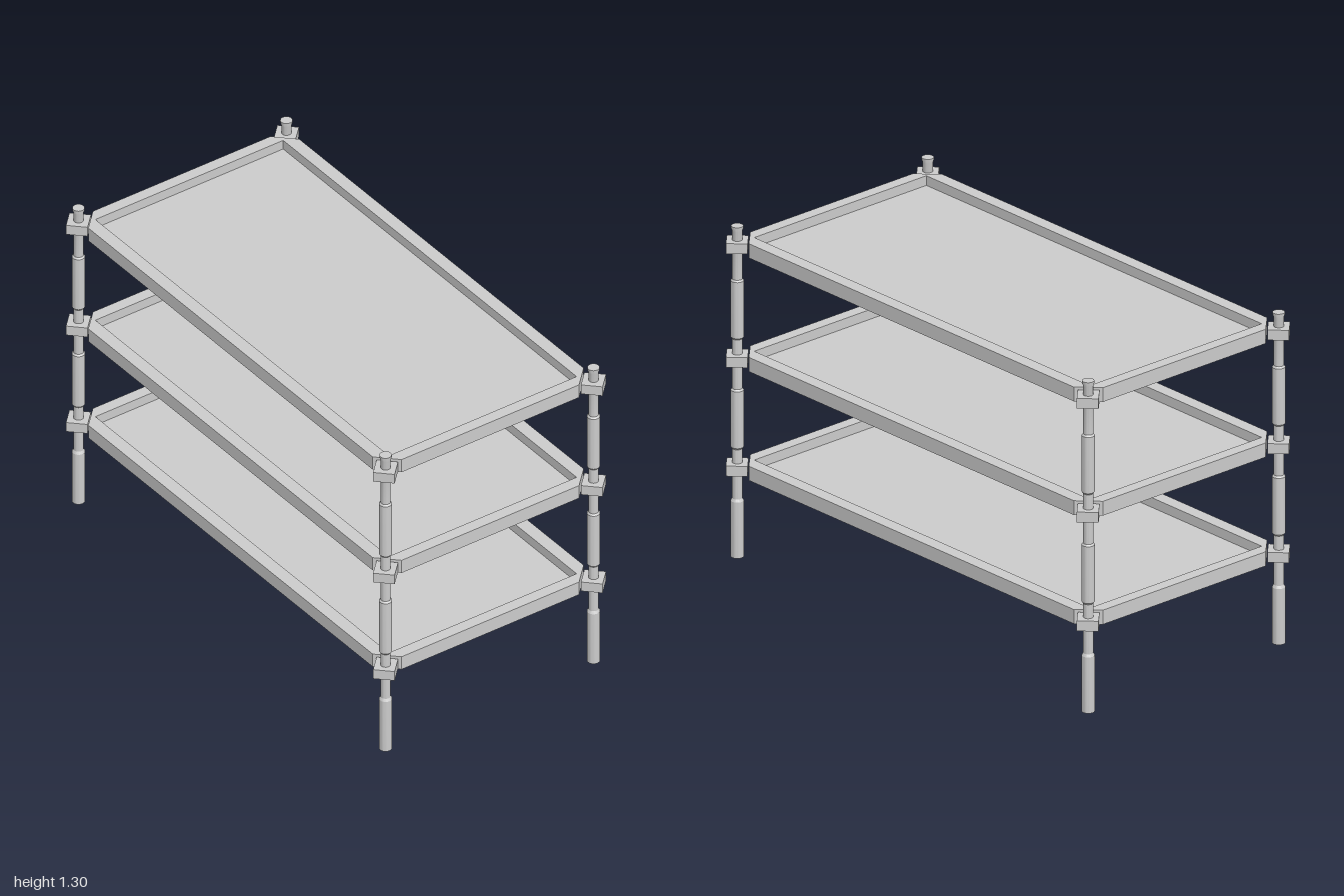
import * as THREE from 'three';
import { toCreasedNormals } from 'three/addons/utils/BufferGeometryUtils.js';

const material = new THREE.MeshStandardMaterial({ color: 0xcccccc });
const POST_X = 0.463, POST_Z = 0.945;
const HALF_X = 0.47, HALF_Z = 0.95, CHAMFER = 0.075;
const SHELF_HEIGHT = 0.056, FLOOR = 0.018;
const SHELF_LEVELS = [0.35, 0.778, 1.225]; // shelf mid heights

function part(name, geometry, x = 0, y = 0, z = 0) {
  const mesh = new THREE.Mesh(geometry, material);
  mesh.name = name;
  mesh.position.set(x, y, z);
  return mesh;
}

// Rectangle with cut corners, seen from above
function outline() {
  const x = HALF_X, z = HALF_Z, c = CHAMFER;
  return new THREE.Shape([
    [x - c, -z], [x, -z + c], [x, z - c], [x - c, z],
    [-x + c, z], [-x, z - c], [-x, -z + c], [-x + c, -z],
  ].map(([a, b]) => new THREE.Vector2(a, b)));
}

function slab(shape, depth) {
  return new THREE.ExtrudeGeometry(shape, { depth, bevelEnabled: false }).rotateX(-Math.PI / 2);
}

// Turned post: thick sleeves between slim necks, with a small flared cap
function postGeometry() {
  const thick = 0.024, slim = 0.0185;
  const profile = [
    [0, 0], [thick, 0], [thick, 0.22], [slim, 0.23],
    [slim, 0.425], [thick, 0.432], [thick, 0.655], [slim, 0.662],
    [slim, 0.857], [thick, 0.864], [thick, 1.085], [slim, 1.092],
    [slim, 1.28], [0.0225, 1.292], [0.0225, 1.3], [0, 1.3],
  ].map(([r, y]) => new THREE.Vector2(r, y));
  return toCreasedNormals(new THREE.LatheGeometry(profile, 20), 0.45);
}

export function createModel() {
  const model = new THREE.Group();
  model.name = 'shelfRack';

  // Tray shelves: a floor plate with a raised rim
  const floor = slab(outline(), FLOOR);
  const rimShape = outline();
  const ix = 0.418, iz = 0.903;
  rimShape.holes.push(new THREE.Path(
    [[-ix, -iz], [-ix, iz], [ix, iz], [ix, -iz]].map(([a, b]) => new THREE.Vector2(a, b))));
  const rim = slab(rimShape, SHELF_HEIGHT - FLOOR);
  for (const level of SHELF_LEVELS) {
    const shelf = new THREE.Group();
    shelf.name = 'shelf';
    shelf.position.y = level - SHELF_HEIGHT / 2;
    shelf.add(part('shelfFloor', floor), part('shelfRim', rim, 0, FLOOR, 0));
    model.add(shelf);
  }

  // Corner posts, each with a diagonal clamp block per shelf
  const post = postGeometry();
  const clamp = new THREE.BoxGeometry(0.079, 0.04, 0.079).rotateY(Math.PI / 4);
  for (const sx of [1, -1]) {
    for (const sz of [1, -1]) {
      const corner = new THREE.Group();
      corner.name = (sz > 0 ? 'front' : 'back') + (sx > 0 ? 'Left' : 'Right') + 'Corner';
      corner.position.set(sx * POST_X, 0, sz * POST_Z);
      corner.add(part('post', post));
      for (const level of SHELF_LEVELS) corner.add(part('clamp', clamp, 0, level, 0));
      model.add(corner);
    }
  }
  return model;
}
